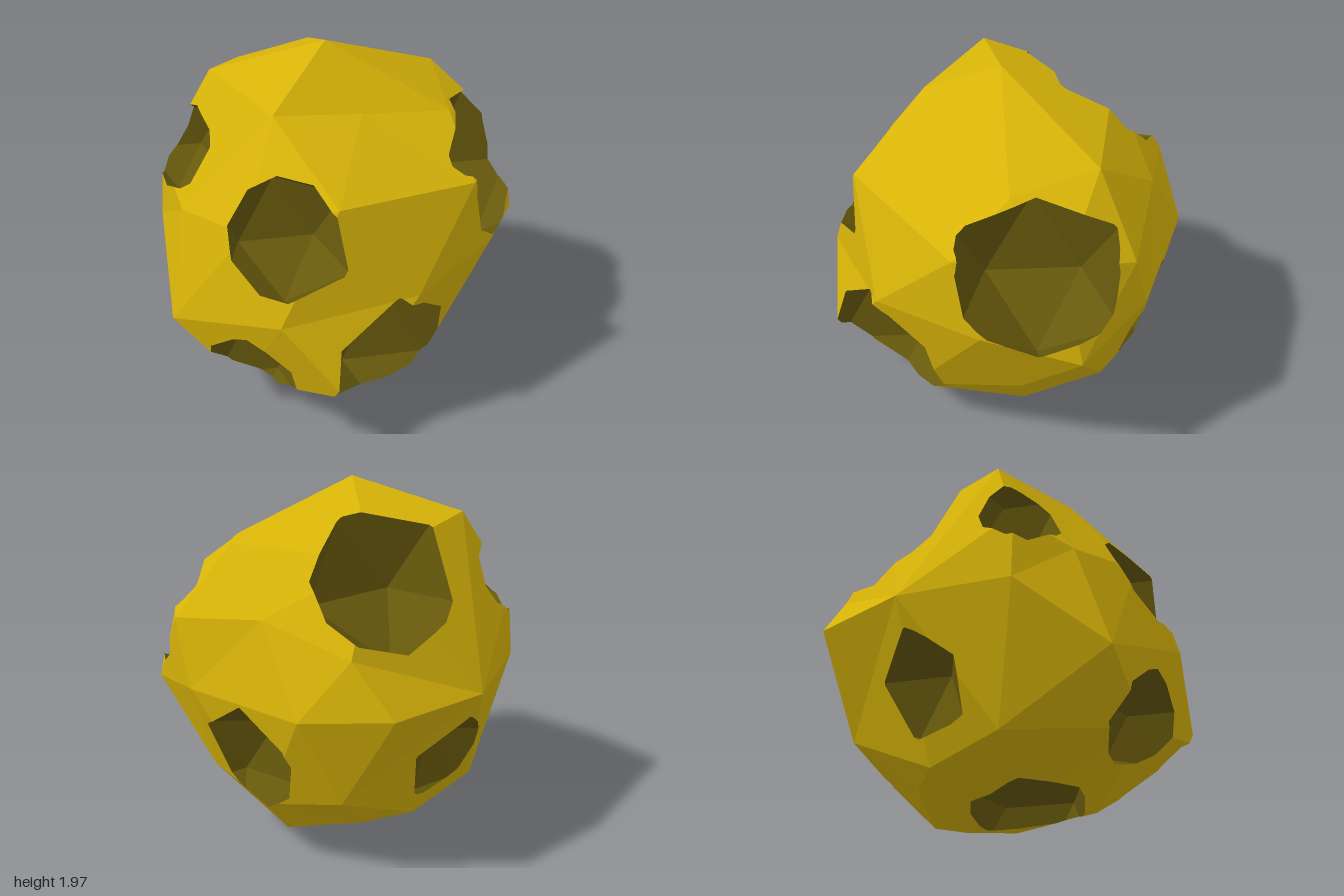
import * as THREE from 'three';
import { ConvexGeometry } from 'three/addons/geometries/ConvexGeometry.js';

const V = (x, y, z) => new THREE.Vector3(x, y, z);
const CENTRE = V(0, 0.95, 0);

// Corners of the lumpy rock, from the top down
const corners = [
  [-0.03, 1.97, 0.07], [-0.43, 1.73, 0.27], [0.03, 1.665, 0.355], [0.5, 1.61, 0.44],
  [0.66, 1.68, 0], [-0.55, 1.8, -0.22], [0.1, 1.7, -0.6], [-0.34, 1.45, 0.8],
  [0.46, 1.36, 0.77], [0.62, 1.39, -0.42], [-0.83, 1.35, -0.25], [0.28, 1.27, -0.81],
  [-0.7, 1.25, 0.5], [0.88, 1.4, 0.4], [0.97, 1.3, 0.02], [-0.86, 1.2, 0.07],
  [0.11, 0.99, -0.97], [0.54, 0.95, -0.74], [-0.46, 0.97, -0.74], [1, 0.84, 0.38],
  [0.93, 0.94, -0.11], [0.62, 0.94, 0.73], [0.035, 0.92, 0.955], [-0.65, 0.83, 0.77],
  [-0.85, 0.98, -0.27], [-1, 0.63, 0.19],
  [0.66, 0.5, 0.49], [0.78, 0.41, 0.04], [-0.39, 0.43, 0.975], [0.3, 0.45, -0.72],
  [0.62, 0.36, -0.42], [0.1, 0.28, 0.81], [-0.75, 0.33, 0.48], [-0.63, 0.26, -0.25],
  [-0.2, 0.18, -0.45], [0.08, 0.15, -0.42], [0.44, 0.07, -0.2], [0.23, 0, -0.08],
  [0.42, 0.09, 0.28], [-0.25, 0.035, 0.45], [-0.2, 0.04, 0],
].map((p) => V(...p));

// Craters: name, centre, radius
const craters = [
  ['frontCrater', V(-0.06, 0.485, 0.92), 0.44],
  ['leftFrontCrater', V(0.73, 1.255, 0.45), 0.476],
  ['leftBackCrater', V(0.74, 0.585, -0.4), 0.345],
  ['topBackCrater', V(0, 1.63, -0.61), 0.48],
  ['rightUpperCrater', V(-0.78, 1.44, -0.18), 0.275],
  ['rightFrontCrater', V(-0.56, 1.25, 0.63), 0.37],
  ['rightLowerCrater', V(-0.72, 0.375, 0.55), 0.31],
  ['backLowerCrater', V(-0.42, 0.49, -0.67), 0.335],
  ['bottomCrater', V(-0.1, 0, 0.13), 0.36],
];

// Triangles of a convex point set
function hullTriangles(points) {
  const pos = new ConvexGeometry(points).getAttribute('position');
  const tris = [];
  for (let i = 0; i < pos.count; i += 3) {
    tris.push([0, 1, 2].map((k) => new THREE.Vector3().fromBufferAttribute(pos, i + k)));
  }
  return tris;
}

const planeOf = (a, b, c) => new THREE.Plane().setFromCoplanarPoints(a, b, c);

// Splits a convex polygon into the parts before and behind a plane
function split(poly, plane) {
  const front = [], back = [];
  poly.forEach((a, i) => {
    const b = poly[(i + 1) % poly.length];
    const da = plane.distanceToPoint(a), db = plane.distanceToPoint(b);
    if (da >= -1e-7) front.push(a);
    if (da <= 1e-7) back.push(a);
    if ((da > 1e-7 && db < -1e-7) || (da < -1e-7 && db > 1e-7)) {
      const p = a.clone().lerp(b, da / (da - db));
      front.push(p);
      back.push(p);
    }
  });
  return { front: front.length > 2 ? front : null, back: back.length > 2 ? back : null };
}

// Parts of a polygon outside a convex solid
function carve(poly, planes) {
  const outside = [];
  let rest = poly;
  for (const plane of planes) {
    const s = split(rest, plane);
    if (s.front && s.back) outside.push(s.front);
    if (!s.back) return [poly];
    rest = s.back;
  }
  return outside;
}

// Part of a polygon inside a convex solid
function keepInside(poly, planes) {
  let rest = poly;
  for (const plane of planes) {
    rest = split(rest, plane).back;
    if (!rest) return null;
  }
  return rest;
}

// Icosahedron standing on a corner
function ballTriangles(centre, r) {
  const pts = [V(0, r, 0), V(0, -r, 0)];
  for (let i = 0; i < 5; i++) {
    const a = (i * Math.PI * 2) / 5, w = r * 0.8944, h = r * 0.4472;
    pts.push(V(w * Math.cos(a), h, w * Math.sin(a)), V(-w * Math.cos(a), -h, -w * Math.sin(a)));
  }
  return hullTriangles(pts.map((p) => p.add(centre)));
}

function polygonMesh(name, polys, material) {
  const xyz = [];
  for (const p of polys) {
    for (let i = 1; i < p.length - 1; i++) {
      for (const v of [p[0], p[i], p[i + 1]]) xyz.push(v.x, v.y, v.z);
    }
  }
  const geo = new THREE.BufferGeometry();
  geo.setAttribute('position', new THREE.Float32BufferAttribute(xyz, 3));
  geo.computeVertexNormals();
  const mesh = new THREE.Mesh(geo, material);
  mesh.name = name;
  return mesh;
}

export function createModel() {
  const group = new THREE.Group();
  group.name = 'crateredRock';
  const rockYellow = new THREE.MeshStandardMaterial({ color: 0xd8b408 });
  rockYellow.name = 'rockYellow';
  const craterBrown = new THREE.MeshStandardMaterial({ color: 0x66580c });
  craterBrown.name = 'craterBrown';

  // Join the corners by direction, so that shallow dents are kept
  const dirs = corners.map((p) => p.clone().sub(CENTRE).normalize());
  const corner = (d) => {
    let best = 0;
    dirs.forEach((e, i) => { if (e.dot(d) > dirs[best].dot(d)) best = i; });
    return corners[best];
  };
  const rock = hullTriangles(dirs).map((t) => t.map(corner));

  // Wedge from the centre to each face, used to trim the craters
  const wedges = rock.map(([a, b, c]) => [
    planeOf(a, b, c), planeOf(CENTRE, b, a), planeOf(CENTRE, c, b), planeOf(CENTRE, a, c),
  ]);

  // Rock surface with the craters cut out, and a lining for each crater
  let surface = rock;
  for (const [name, centre, radius] of craters) {
    const ball = ballTriangles(centre, radius);
    const planes = ball.map((t) => planeOf(...t));
    surface = surface.flatMap((p) => carve(p, planes));
    const lining = ball.flatMap((t) => wedges.map((w) => keepInside(t, w)).filter(Boolean));
    group.add(polygonMesh(name, lining.map((p) => [...p].reverse()), craterBrown));
  }
  group.add(polygonMesh('rock', surface, rockYellow));
  return group;
}
